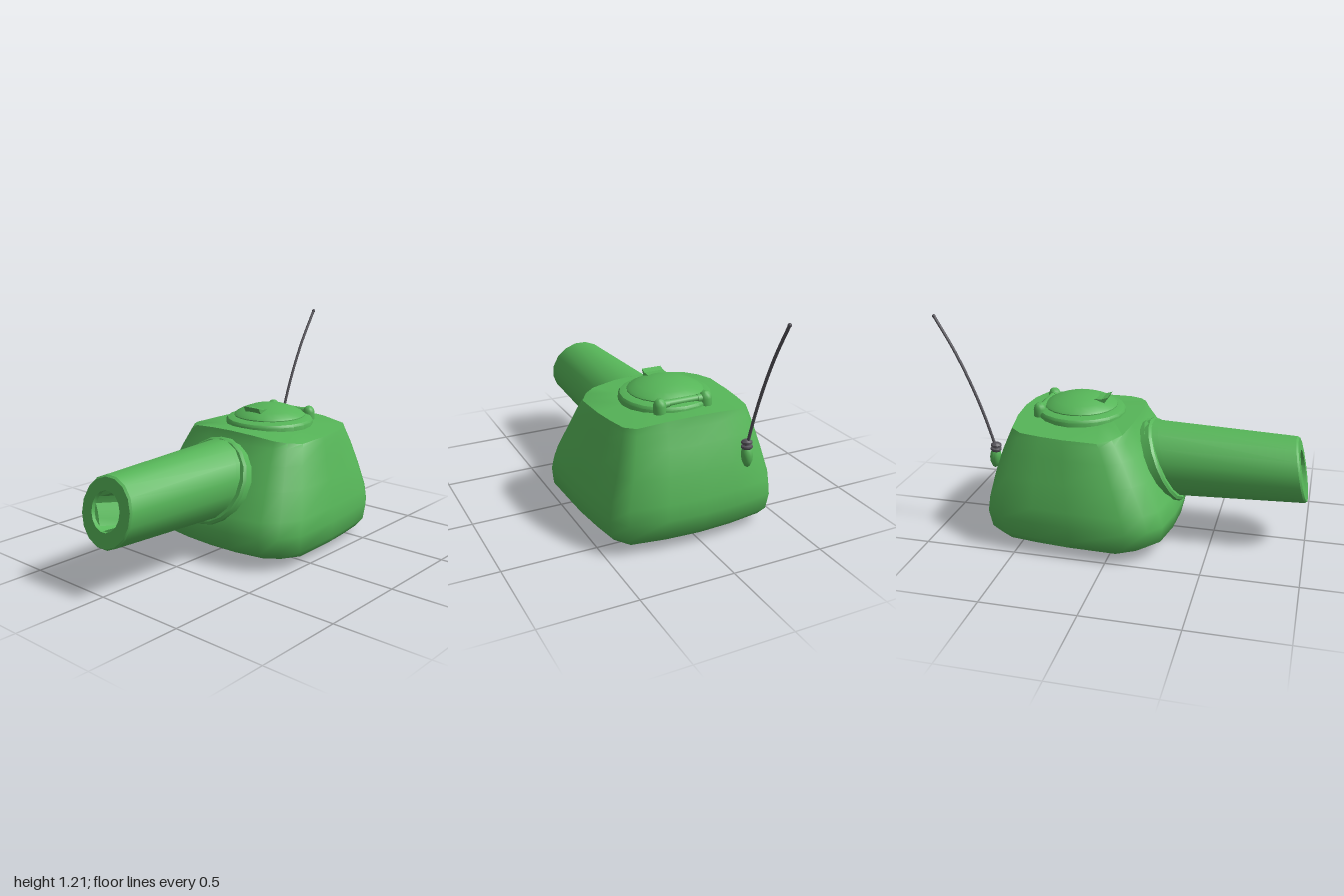
import * as THREE from 'three';
import { toCreasedNormals } from 'three/addons/utils/BufferGeometryUtils.js';

const green = new THREE.MeshStandardMaterial({ color: 0x56b558 });
const grey = new THREE.MeshStandardMaterial({ color: 0x55535a });

// Skin closed rings of [x, y, z] points, one after the other
function loft(rings, crease) {
  const n = rings[0].length, index = [];
  for (let i = 0; i < rings.length - 1; i++) {
    for (let j = 0; j < n; j++) {
      const k = (j + 1) % n;
      const a = i * n + j, b = i * n + k, c = b + n, d = a + n;
      index.push(a, b, c, a, c, d);
    }
  }
  const g = new THREE.BufferGeometry();
  g.setAttribute('position', new THREE.Float32BufferAttribute(rings.flat(2), 3));
  g.setIndex(index);
  return toCreasedNormals(g, crease);
}

function lathe(points, sides, crease = 0.6) {
  const g = new THREE.LatheGeometry(points.map(p => new THREE.Vector2(...p)), sides);
  return toCreasedNormals(g, crease);
}

export function createModel() {
  const model = new THREE.Group();
  const add = (name, geometry, material = green, x = 0, y = 0, z = 0) => {
    const mesh = new THREE.Mesh(geometry, material);
    mesh.name = name;
    mesh.position.set(x, y, z);
    model.add(mesh);
    return mesh;
  };

  // Turret shell: one plan outline, resized at each height
  const half = [[0, 0.32], [0.19, 0.31], [0.37, 0.275], [0.45, 0.21], [0.51, 0.1], [0.503, -0.2],
    [0.485, -0.4], [0.46, -0.58], [0.4, -0.675], [0.2, -0.708], [0, -0.72]];
  const plan = [...half, ...half.slice(1, -1).reverse().map(([x, z]) => [-x, z])];
  const section = (y, w, front, back) => plan.map(([x, z]) =>
    [x * w / 0.51, y, back + (z + 0.72) / 1.04 * (front - back)]);
  const ringZ = -0.245;
  const opening = section(0.046, 0.47, 0.24, -0.66).map(([x, y, z]) => {
    const s = 0.278 / Math.hypot(x, z - ringZ);
    return [x * s, y, ringZ + (z - ringZ) * s];
  });
  const crown = s => section(0.62, 0.385, 0.07, -0.585).map(([x, , z]) =>
    [x * s, 0.62 + 0.036 * (1 - (x * s / 0.385) ** 2), -0.26 + (z + 0.26) * s]);
  add('turretShell', loft([
    opening,
    section(0.046, 0.47, 0.24, -0.66),
    section(0.09, 0.503, 0.31, -0.7),
    section(0.18, 0.51, 0.325, -0.72),
    section(0.26, 0.5, 0.295, -0.71),
    section(0.4, 0.457, 0.215, -0.675),
    section(0.52, 0.42, 0.145, -0.635),
    section(0.6, 0.394, 0.09, -0.6),
    crown(1), crown(0.6), crown(0),
  ], 0.95));

  // Hollow turret ring underneath
  add('turretRing', lathe([[0, 0.36], [0.245, 0.36], [0.245, 0.01], [0.255, 0], [0.285, 0],
    [0.292, 0.008], [0.298, 0.06]], 28), green, 0, 0, ringZ);

  // Sloped collar around the barrel root
  const collar = add('barrelCollar', lathe([[0.24, -0.09], [0.24, -0.012], [0.228, 0], [0.17, 0]], 18),
    green, 0, 0.418, 0.243);
  collar.rotation.x = THREE.MathUtils.degToRad(65);

  // Barrel: sheared rings follow the sloped root and muzzle, then turn into the grooved bore
  const sides = 16;
  const ring = (r, z, shear, groove = 0, y = 0.42) => Array.from({ length: sides }, (_, i) => {
    const a = (i + 0.5) / sides * Math.PI * 2;
    const q = r - (i % 4 < 2 ? groove : 0);
    return [q * Math.cos(a), y + q * Math.sin(a), z - shear * q * Math.sin(a)];
  });
  add('barrel', loft([
    ring(0.206, 0.2, 0.47),
    ring(0.203, 0.27, 0.45),
    ring(0.178, 0.955, 0.21),
    ring(0.17, 0.965, 0.21),
    ring(0.1, 0.965, 0.21, 0, 0.426),
    ring(0.1, 0.945, 0.21, 0, 0.422),
    ring(0.1, 0.94, 0.21, 0.017, 0.421),
    ring(0.1, 0.66, 0.21, 0.017, 0.362),
  ], 0.5));
  const boreEnd = add('boreEnd', new THREE.CircleGeometry(0.101, 16), grey, 0, 0.362, 0.662);
  boreEnd.rotation.x = -0.207;

  // Hatch rim and domed lid
  const hatchZ = -0.26;
  add('hatchRim', lathe([[0.247, 0.61], [0.247, 0.665], [0.238, 0.678], [0.2, 0.69], [0.17, 0.69]], 20),
    green, 0, 0, hatchZ);
  add('hatchLid', lathe([[0.2, 0.67], [0.2, 0.695], [0.188, 0.706], [0.15, 0.725], [0.1, 0.743],
    [0.05, 0.752], [0, 0.754]], 24), green, 0, 0, hatchZ);

  // Wedge-shaped lid handle, its lip rising towards the front
  const wedge = new THREE.Shape([[-0.175, 0.73], [-0.12, 0.715], [-0.098, 0.755], [-0.13, 0.744],
    [-0.175, 0.742]].map(p => new THREE.Vector2(...p)));
  const handle = new THREE.ExtrudeGeometry(wedge, { depth: 0.11, bevelEnabled: false });
  handle.translate(0, 0, -0.055).rotateY(-Math.PI / 2);
  add('hatchHandle', handle);

  // Hinge bar between two bullet-shaped knobs
  const bar = new THREE.CylinderGeometry(0.018, 0.018, 0.24, 10).rotateZ(Math.PI / 2);
  add('hingeBar', bar, green, 0, 0.692, -0.455);
  for (const s of [-1, 1]) {
    add(s > 0 ? 'leftHingeKnob' : 'rightHingeKnob', lathe([[0.033, 0.64], [0.034, 0.69],
      [0.028, 0.71], [0.016, 0.722], [0, 0.726]], 12, 1), green, s * 0.13, 0, -0.458);
    const foot = new THREE.CylinderGeometry(0.022, 0.022, 0.035, 10).rotateZ(Math.PI / 2);
    add(s > 0 ? 'leftHingeSleeve' : 'rightHingeSleeve', foot, green, s * 0.1, 0.69, -0.456);
  }

  // Antenna socket on the rear wall, with stacked dark collars
  const base = new THREE.Group();
  base.name = 'antennaBase';
  base.position.set(-0.25, 0.43, -0.681);
  base.rotation.x = 0.1;
  model.add(base);
  base.add(add('antennaSocket', lathe([[0, -0.06], [0.014, -0.05], [0.026, -0.025], [0.031, 0.005],
    [0.028, 0.03], [0.022, 0.045], [0, 0.045]], 14, 0.8)));
  base.add(add('antennaCollars', lathe([[0, 0.04], [0.024, 0.04], [0.03, 0.048], [0.03, 0.056],
    [0.02, 0.061], [0.02, 0.066], [0.029, 0.07], [0.029, 0.078], [0.016, 0.088], [0, 0.09]], 14, 0.5), grey));

  // Swept-back whip antenna with a small tip
  const path = new THREE.CatmullRomCurve3([[-0.252, 0.5, -0.678], [-0.252, 0.68, -0.735],
    [-0.25, 0.86, -0.806], [-0.246, 1.03, -0.888], [-0.24, 1.2, -0.988]].map(p => new THREE.Vector3(...p)));
  add('antennaWhip', new THREE.TubeGeometry(path, 16, 0.008, 8), grey);
  add('antennaTip', new THREE.SphereGeometry(0.01, 10, 8), grey, -0.24, 1.2, -0.988);

  return model;
}
